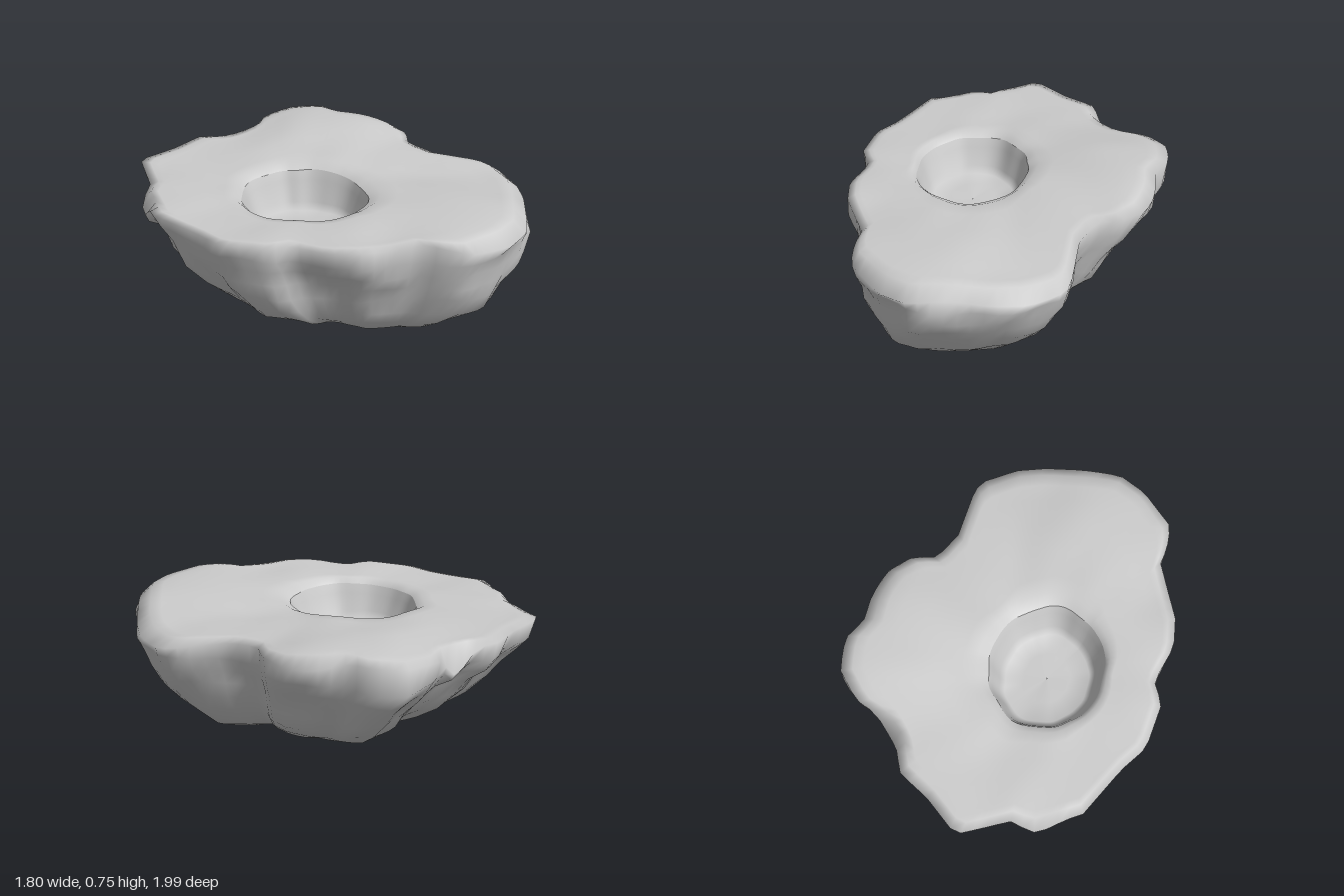
import * as THREE from 'three';

const N = 96; // points per loop
const pitX = -0.17, pitZ = -0.055;

// Plan outline of the rock, x,z, running left -> back -> right -> front
const OUTLINE = [
  [-0.9, -0.4], [-0.8, -0.66], [-0.71, -0.7], [-0.59, -0.97], [-0.35, -0.97], [-0.17, -1.0],
  [-0.03, -0.93], [0.1, -0.91], [0.17, -0.91], [0.28, -0.95], [0.46, -0.92], [0.58, -0.8],
  [0.6, -0.67], [0.71, -0.54], [0.77, -0.4], [0.75, -0.24], [0.67, -0.14], [0.71, 0.03],
  [0.89, 0.28], [0.9, 0.36], [0.85, 0.53], [0.75, 0.67], [0.46, 0.96], [0.3, 1.0],
  [0.05, 0.97], [-0.05, 0.86], [-0.09, 0.78], [-0.38, 0.64], [-0.5, 0.53], [-0.58, 0.33],
  [-0.7, 0.28], [-0.83, 0.07], [-0.84, -0.1],
];

const bump = (x, z, cx, cz, r) => Math.exp(-((x - cx) ** 2 + (z - cz) ** 2) / (r * r));

// Repeatable lattice noise, blended smoothly, -1..1
function hash(i, j, k) {
  const s = Math.sin(i * 127.1 + j * 311.7 + k * 74.7) * 43758.5453;
  return (s - Math.floor(s)) * 2 - 1;
}
function noise(x, y, z) {
  const p = [x, y, z], c = p.map(Math.floor), f = p.map((v, i) => v - c[i]).map((t) => t * t * (3 - 2 * t));
  let sum = 0;
  for (let n = 0; n < 8; n++) {
    const o = [n & 1, (n >> 1) & 1, n >> 2];
    const w = o.reduce((a, b, i) => a * (b ? f[i] : 1 - f[i]), 1);
    sum += w * hash(c[0] + o[0], c[1] + o[1], c[2] + o[2]);
  }
  return sum;
}

// Height of the gently rolling top
function topY(x, z) {
  return 0.68 + 0.08 * bump(x, z, 0.45, -0.58, 0.42) + 0.038 * bump(x, z, 0.25, 0.65, 0.35)
    + 0.008 * noise(x * 5, 0, z * 5) - 0.015 * bump(x, z, -0.9, -0.2, 0.4)
    - 0.015 * bump(x, z, 0.85, 0.4, 0.3);
}

// How far the outer edge falls below the top: worn lips and chipped nicks
function edgeDrop(x, z) {
  return 0.012 + 0.05 * bump(x, z, 0.8, 0.55, 0.4) + 0.05 * bump(x, z, 0.3, 1.0, 0.3)
    + 0.04 * bump(x, z, 0.7, -0.5, 0.2) + 0.13 * bump(x, z, 0.06, -0.92, 0.1)
    + 0.1 * bump(x, z, -0.82, -0.6, 0.1);
}

// Where the flanks under the edge are cut in (positive) or swell out (negative)
function undercut(x, z) {
  return bump(x, z, 0.75, -0.35, 0.35) + bump(x, z, -0.5, 0.5, 0.25)
    + bump(x, z, 0, -1, 0.6) - 0.4 * bump(x, z, 0.4, 0.9, 0.4);
}

// Evenly spaced points round the outline
function resampleOutline() {
  const path = new THREE.CurvePath();
  const pts = OUTLINE.map(([x, z]) => new THREE.Vector3(x, 0, z));
  pts.forEach((p, i) => path.add(new THREE.LineCurve3(p, pts[(i + 1) % pts.length])));
  return Array.from({ length: N }, (_, i) => path.getPointAt(i / N));
}

// Skin closed loops, listed from the pit centre outwards and on beneath
function skin(name, loops, material) {
  const pos = loops.flat().flatMap((p) => [p.x, p.y, p.z]);
  const index = [];
  for (let r = 0; r < loops.length - 1; r++) {
    for (let i = 0; i < N; i++) {
      const j = (i + 1) % N, a = r * N, b = a + N;
      index.push(a + i, b + j, b + i, a + i, a + j, b + j);
    }
  }
  const geo = new THREE.BufferGeometry();
  geo.setAttribute('position', new THREE.Float32BufferAttribute(pos, 3));
  geo.setIndex(index);
  geo.computeVertexNormals();
  const mesh = new THREE.Mesh(geo, material);
  mesh.name = name;
  return mesh;
}

export function createModel() {
  const group = new THREE.Group();
  group.name = 'rockWithPit';
  const material = new THREE.MeshStandardMaterial({ color: 0xcccccc, side: THREE.DoubleSide });
  const rim = resampleOutline();

  // Loop round the pit: slightly tilted oval, wobbling a little
  const pitLoop = (radius, height) => rim.map((p) => {
    const a = Math.atan2(p.z - pitZ, p.x - pitX);
    const r = radius * (1 + 0.07 * Math.cos(2 * (a - 1.0)) + 0.05 * noise(Math.cos(a) * 3, radius * 2, Math.sin(a) * 3));
    const x = pitX + r * Math.cos(a), z = pitZ + r * Math.sin(a);
    return new THREE.Vector3(x, height(x, z), z);
  });
  const floorY = (x, z) => 0.46 + 0.012 * noise(x * 6, 3, z * 6);

  // Sunken pit floor and its steep wall
  const lip = pitLoop(0.318, (x, z) => topY(x, z) - 0.03);
  group.add(skin('pit', [
    pitLoop(0.002, floorY), pitLoop(0.13, floorY), pitLoop(0.235, floorY),
    pitLoop(0.265, (x, z) => floorY(x, z) + 0.04),
    pitLoop(0.298, (x, z) => topY(x, z) - 0.08), lip,
  ], material));

  // Rolling top, from the pit lip to just inside the edge
  const loops = [lip];
  const innerEdge = 0.94;
  for (const t of [0.08, 0.2, 0.4, 0.6, 0.8, 0.92, 1]) {
    loops.push(rim.map((p, i) => {
      const x = THREE.MathUtils.lerp(lip[i].x, pitX + (p.x - pitX) * innerEdge, t);
      const z = THREE.MathUtils.lerp(lip[i].z, pitZ + (p.z - pitZ) * innerEdge, t);
      return new THREE.Vector3(x, topY(x, z), z);
    }));
  }

  // Worn outer edge
  const edge = rim.map((p) => new THREE.Vector3(p.x, topY(p.x, p.z) - edgeDrop(p.x, p.z), p.z));
  loops.push(edge);

  // Craggy underside: [scale, height], shrinking towards a base set forward
  const profile = [
    [0.985, 0.58], [0.95, 0.5], [0.91, 0.42], [0.86, 0.33], [0.78, 0.23], [0.68, 0.15],
    [0.57, 0.09], [0.44, 0.06], [0.28, 0.055], [0.12, 0.06], [0.002, 0.06],
  ];
  for (const [s, y] of profile) {
    loops.push(rim.map((p, i) => {
      const cut = undercut(p.x, p.z) * Math.min(0.07, (1 - s) * 0.8);
      const qx = p.x * s, qz = p.z * s;
      const lump = 0.04 * noise(qx * 5, y * 6, qz * 5) + 0.025 * noise(qx * 9, y * 11, qz * 9);
      const k = 1 + lump - cut;
      const x = qx * k + 0.04 * (1 - s), z = qz * k + 0.25 * (1 - s);
      const sag = 0.06 * bump(x, z, 0.35, 0.36, 0.16);
      const h = Math.min(y, edge[i].y - 0.035 - 0.3 * (1 - s)) - sag + 0.02 * noise(x * 6, y * 6, z * 6);
      return new THREE.Vector3(x, Math.max(0, h), z);
    }));
  }
  group.add(skin('rockBody', loops, material));
  return group;
}
